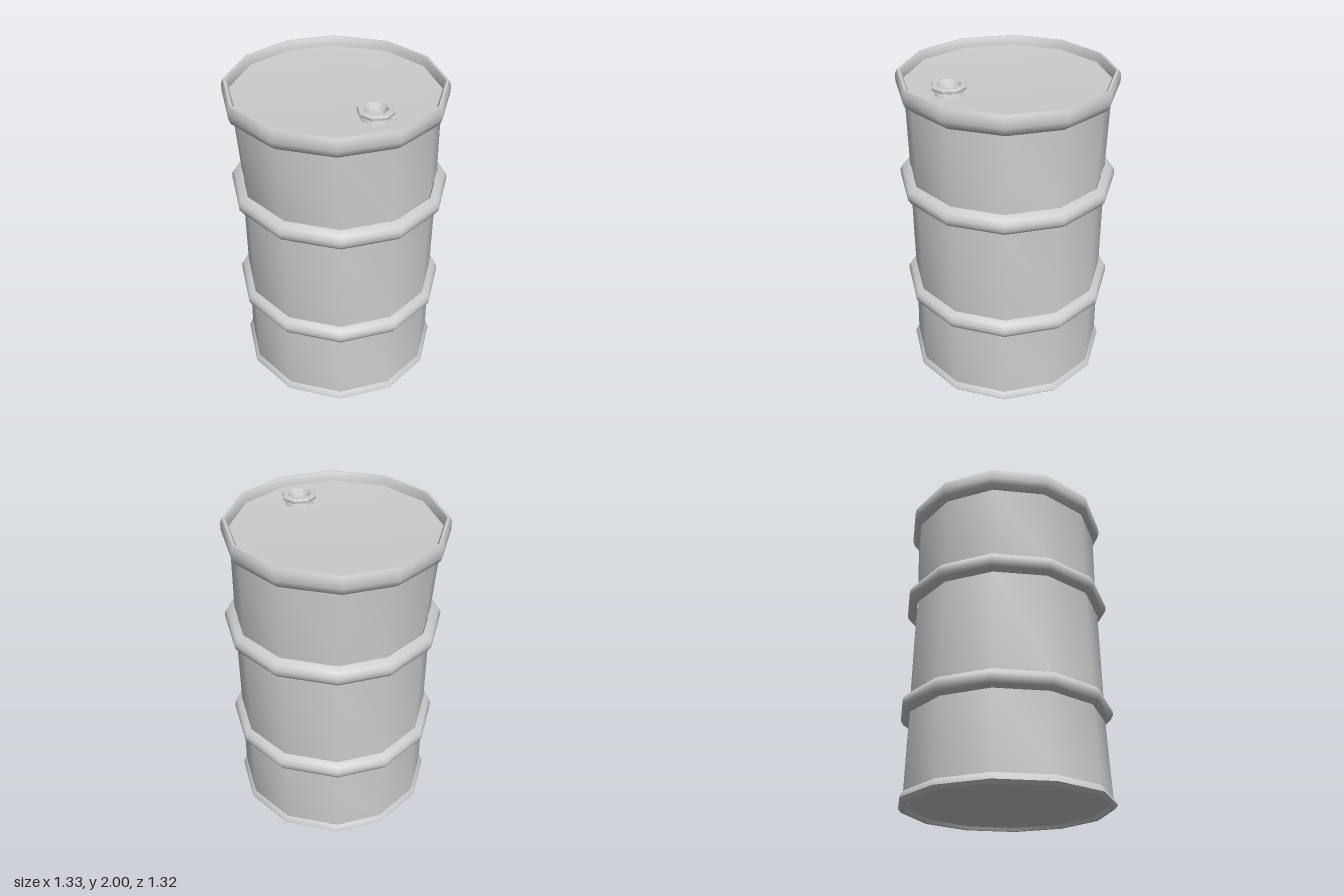
import * as THREE from 'three';
import { toCreasedNormals } from 'three/addons/utils/BufferGeometryUtils.js';

const material = new THREE.MeshStandardMaterial({ color: 0xcccccc, side: THREE.DoubleSide });

// Slightly uneven corner angles (degrees) of the twelve-sided drum
const drumAngles = [-8.5, 21.3, 50.7, 81, 112, 142.8, 173.8, 203.5, 233.5, 260.5, 292, 321.5];
const spoutAngles = Array.from({ length: 8 }, (_, i) => i * 45 + 6);

// The battered drum leans a little to one side above the upper hoop
const leanX = (y) => -0.02 * THREE.MathUtils.smoothstep(y, 1.4, 1.87);
const leanZ = (y) => 0.006 * (1 - THREE.MathUtils.smoothstep(y, 0.06, 0.54));

// Skin a profile of [radius, y] pairs around the given corner angles
function loft(name, profile, angles = drumAngles, x0 = leanX, z0 = leanZ) {
  const positions = [];
  const index = [];
  const n = angles.length;
  for (const [r, y] of profile) {
    for (const deg of angles) {
      const a = THREE.MathUtils.degToRad(deg);
      positions.push(x0(y) + r * Math.cos(a), y, z0(y) + r * Math.sin(a));
    }
  }
  for (let i = 0; i < profile.length - 1; i++) {
    for (let j = 0; j < n; j++) {
      const k = (j + 1) % n;
      const a = i * n + j, b = i * n + k, c = b + n, d = a + n;
      if (profile[i + 1][0] > 0) index.push(a, d, c);
      else index.push(a, d, b);
      if (profile[i][0] > 0 && profile[i + 1][0] > 0) index.push(a, c, b);
    }
  }
  const geometry = new THREE.BufferGeometry();
  geometry.setAttribute('position', new THREE.Float32BufferAttribute(positions, 3));
  geometry.setIndex(index);
  const mesh = new THREE.Mesh(toCreasedNormals(geometry, 0.75), material);
  mesh.name = name;
  return mesh;
}

// Rounded hoop between two wall sections
function hoop(name, y) {
  return loft(name, [
    [0.615, y - 0.06], [0.652, y - 0.042], [0.668, y - 0.015],
    [0.668, y + 0.015], [0.652, y + 0.042], [0.61, y + 0.06],
  ]);
}

export function createModel() {
  const drum = new THREE.Group();
  drum.name = 'drum';

  // Recessed floor and base rim
  drum.add(loft('floor', [[0, 0.025], [0.57, 0.025], [0.6, 0.02], [0.612, 0]]));
  drum.add(loft('baseRim', [[0.612, 0], [0.636, 0], [0.655, 0.022], [0.65, 0.042], [0.632, 0.063]]));

  // Three wall sections separated by two hoops
  drum.add(loft('lowerWall', [[0.632, 0.063], [0.618, 0.54]]));
  drum.add(hoop('lowerHoop', 0.597));
  drum.add(loft('middleWall', [[0.618, 0.655], [0.61, 1.285]]));
  drum.add(hoop('upperHoop', 1.343));
  drum.add(loft('upperWall', [[0.605, 1.4], [0.612, 1.87]]));

  // Thick top rim, inner wall and sunken lid
  drum.add(loft('topRim', [
    [0.612, 1.87], [0.645, 1.895], [0.657, 1.93], [0.655, 1.975],
    [0.643, 2], [0.628, 2], [0.618, 1.985], [0.612, 1.945],
  ]));
  drum.add(loft('lid', [[0.612, 1.945], [0.55, 1.94], [0, 1.94]]));

  // Flanged filler spout with a hollow centre
  drum.add(loft('spout', [
    [0.09, 1.938], [0.08, 1.962], [0.104, 1.972], [0.106, 1.988], [0.098, 1.996],
    [0.072, 1.996], [0.064, 1.985], [0.046, 1.955], [0, 1.955],
  ], spoutAngles, () => 0.238, () => 0.287));

  return drum;
}
